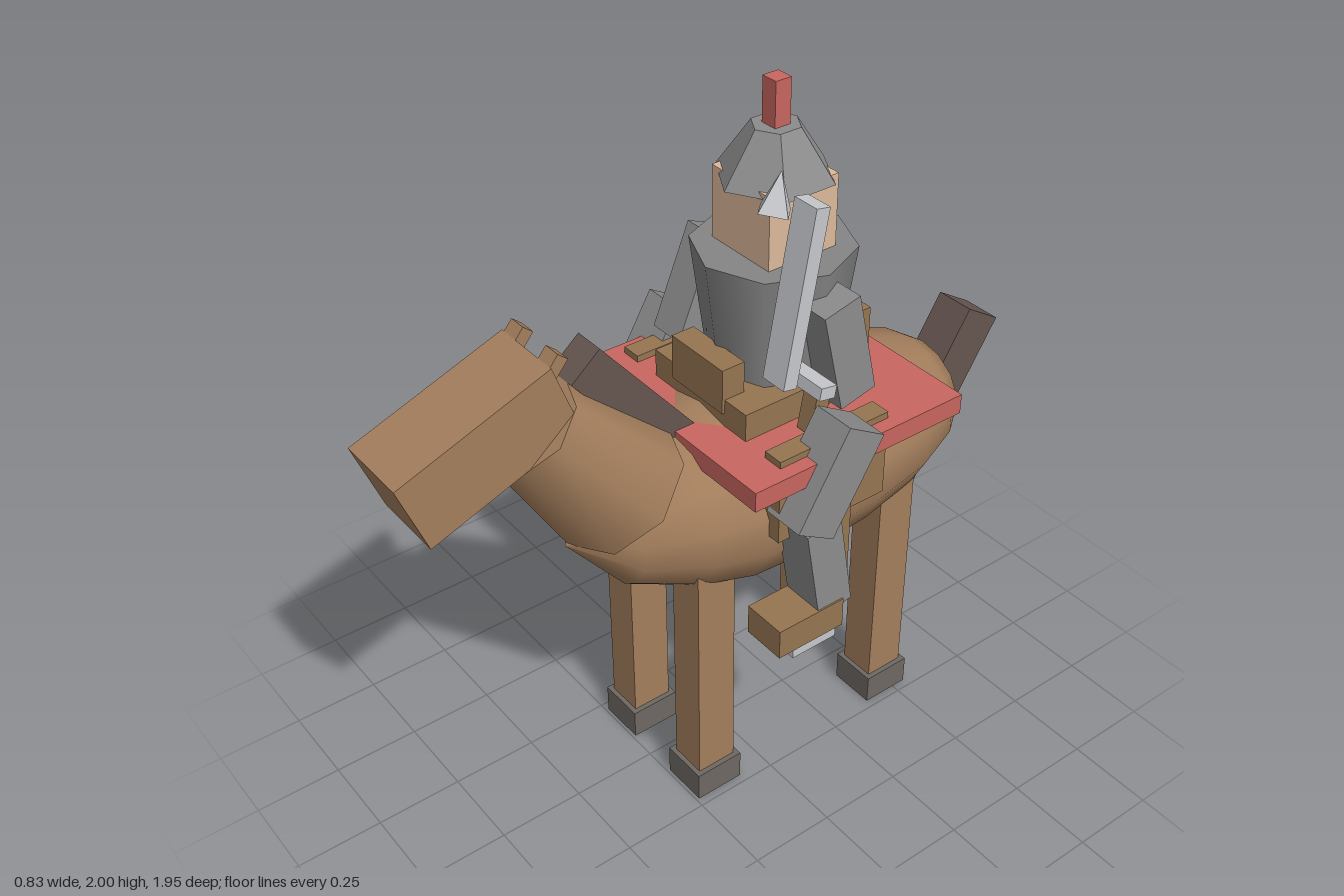
import * as THREE from 'three';

const mat = (color, flatShading = true) => new THREE.MeshStandardMaterial({ color, flatShading });
const HIDE = mat(0xa37e5c), SMOOTH_HIDE = mat(0xa37e5c, false);
const HAIR = mat(0x665650), HOOF = mat(0x6e6862), LEATHER = mat(0x957552);
const CLOTH = mat(0xc8665f), SKIN = mat(0xdcb99a), STEEL = mat(0x8c8c8c);
const SMOOTH_STEEL = mat(0x858585, false), BRIGHT = mat(0xc6c8cc);

export function createModel() {
  const model = new THREE.Group();

  // Places a mesh, tilted about x (a positive tilt leans its top forward)
  const add = (name, geometry, material, [x, y, z], tilt = 0) => {
    const mesh = new THREE.Mesh(geometry, material);
    mesh.name = name;
    mesh.position.set(x, y, z);
    mesh.rotation.x = tilt;
    model.add(mesh);
    return mesh;
  };
  const box = (name, size, material, position, tilt) =>
    add(name, new THREE.BoxGeometry(...size), material, position, tilt);

  // Horse barrel: a lathe profile (radius, z) flattened to an oval and laid along z
  const profile = [
    [0, -0.78], [0.2, -0.775], [0.5, -0.735], [0.66, -0.67], [0.85, -0.52], [0.96, -0.33],
    [1, -0.12], [0.97, 0.06], [0.84, 0.2], [0.57, 0.365], [0, 0.49],
  ].map(([r, z]) => new THREE.Vector2(r, z));
  const barrel = new THREE.LatheGeometry(profile, 14);
  barrel.scale(0.31, 1, 0.272).rotateX(Math.PI / 2);
  add('horseBody', barrel, SMOOTH_HIDE, [0, 0.908, 0]);

  // Neck, head, mane and tail
  add('horseNeck', new THREE.CylinderGeometry(0.14, 0.2, 0.385, 8), SMOOTH_HIDE, [0, 1.182, 0.447], 0.69);
  box('horseHead', [0.21, 0.21, 0.45], HIDE, [0, 1.353, 0.733], 0.35);
  box('mane', [0.09, 0.45, 0.11], HAIR, [0, 1.275, 0.285], 0.69);
  box('tail', [0.12, 0.535, 0.135], HAIR, [0, 0.87, -0.77], -0.555);

  // Paired parts
  for (const s of [-1, 1]) {
    box('ear', [0.05, 0.06, 0.035], HIDE, [s * 0.073, 1.52, 0.54], -0.7);
    for (const z of [0.167, -0.47]) {
      box('horseLeg', [0.11, 0.8, 0.12], HIDE, [s * 0.155, 0.47, z]);
      box('hoof', [0.14, 0.09, 0.148], HOOF, [s * 0.155, 0.045, z]);
    }
    box('saddleFlap', [0.06, 0.255, 0.355], LEATHER, [s * 0.3, 1.043, -0.115]);
    box('stirrupStrap', [0.025, 0.46, 0.035], LEATHER, [s * 0.34, 0.94, -0.143]);
    box('stirrup', [0.11, 0.04, 0.145], BRIGHT, [s * 0.35, 0.597, -0.007]);
    box('boot', [0.13, 0.09, 0.215], LEATHER, [s * 0.35, 0.66, 0.013]);
    box('riderShin', [0.125, 0.3, 0.11], STEEL, [s * 0.348, 0.83, -0.045], 0.17);
    box('riderThigh', [0.125, 0.3, 0.135], STEEL, [s * 0.352, 1.093, -0.066], -0.54);
  }

  // Blanket and saddle
  box('blanket', [0.74, 0.058, 0.688], CLOTH, [0, 1.122, -0.172]);
  box('saddleSeat', [0.38, 0.08, 0.4], LEATHER, [0, 1.192, -0.14]);
  box('cantle', [0.25, 0.15, 0.075], LEATHER, [0, 1.265, -0.367]);
  box('pommel', [0.21, 0.13, 0.07], LEATHER, [0, 1.257, 0.033]);

  // Rider
  const z = -0.175;
  add('riderTorso', new THREE.CylinderGeometry(0.215, 0.168, 0.36, 8), SMOOTH_STEEL, [0, 1.38, z]);
  box('riderRightArm', [0.11, 0.3, 0.11], STEEL, [-0.217, 1.362, -0.104], -0.4);
  box('riderLeftArm', [0.11, 0.3, 0.115], STEEL, [0.217, 1.35, -0.206], 0.23);
  box('riderHead', [0.225, 0.2, 0.215], SKIN, [0, 1.66, z]);
  add('helmet', new THREE.CylinderGeometry(0.065, 0.157, 0.135, 6), STEEL, [0, 1.813, z]);
  box('plume', [0.05, 0.125, 0.048], CLOTH, [0, 1.938, z]);

  // Sword, with its separate point ahead of the blade
  box('swordBlade', [0.08, 0.475, 0.042], BRIGHT, [0.245, 1.568, -0.042], -0.18);
  box('swordGuard', [0.15, 0.035, 0.05], BRIGHT, [0.245, 1.305, -0.093], -0.18);
  box('swordGrip', [0.05, 0.14, 0.045], LEATHER, [0.247, 1.22, -0.115], -0.18);
  add('swordPoint', new THREE.ConeGeometry(0.05, 0.1, 4), BRIGHT, [0.245, 1.862, 0.02], -0.2);

  return model;
}
